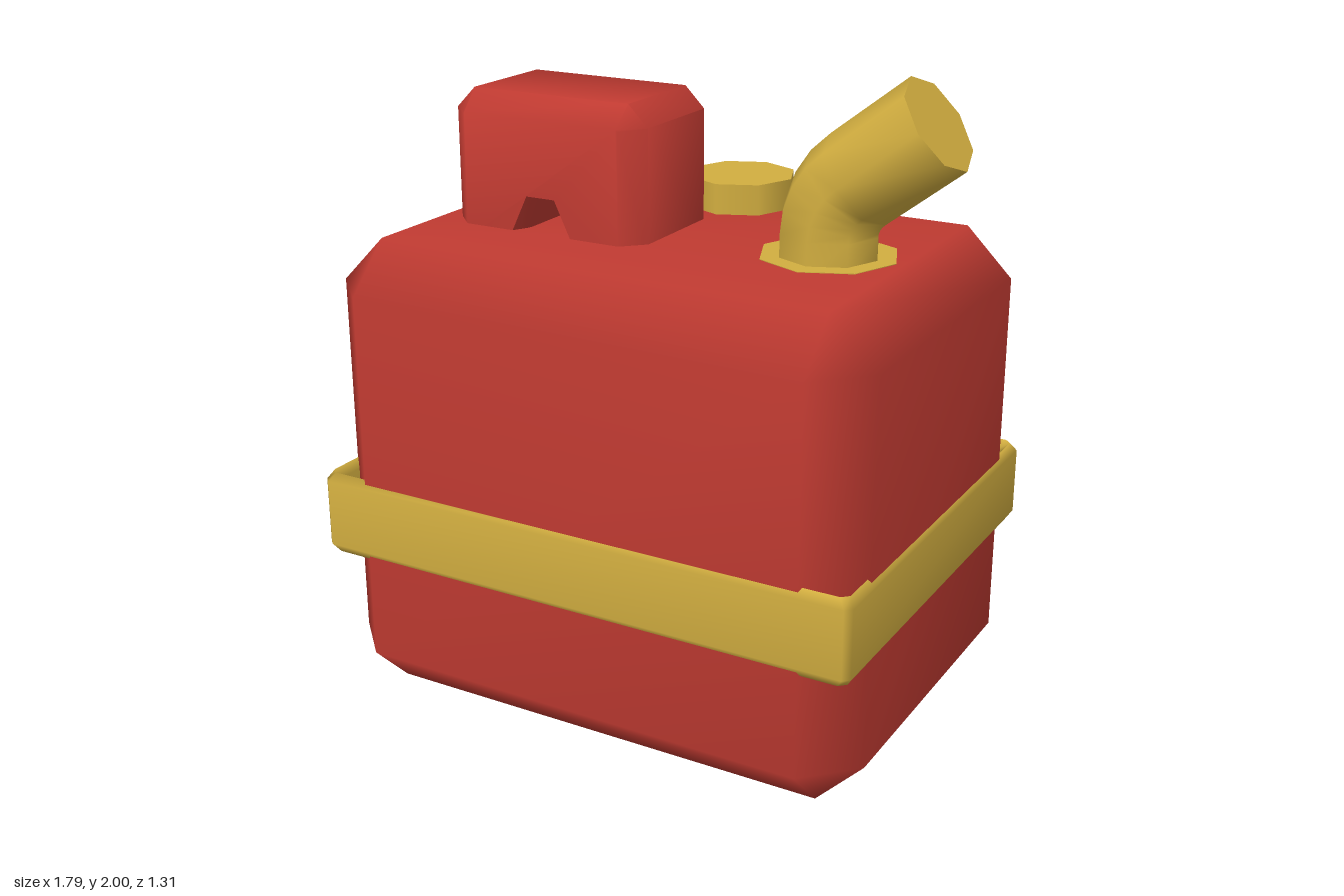
import * as THREE from 'three';
import { mergeVertices, toCreasedNormals } from 'three/addons/utils/BufferGeometryUtils.js';
import { ConvexGeometry } from 'three/addons/geometries/ConvexGeometry.js';

const V = (x, y, z) => new THREE.Vector3(x, y, z);

// Skin a run of rings; either joined end to start, or capped with the given triangles
function loft(rings, closed, capFaces = []) {
  const n = rings[0].length;
  const points = rings.flat();
  const index = [];
  const spans = closed ? rings.length : rings.length - 1;
  for (let i = 0; i < spans; i++) {
    const a = i * n, b = ((i + 1) % rings.length) * n;
    for (let j = 0; j < n; j++) {
      const k = (j + 1) % n;
      index.push(a + j, a + k, b + k, a + j, b + k, b + j);
    }
  }
  if (!closed) {
    const start = points.length, end = start + n;
    points.push(...rings[0], ...rings[rings.length - 1]);
    for (const [a, b, c] of capFaces) {
      index.push(start + a, start + c, start + b, end + a, end + b, end + c);
    }
  }
  const geo = new THREE.BufferGeometry().setFromPoints(points);
  geo.setIndex(index);
  geo.computeVertexNormals();
  return geo;
}

// Box with every edge cut at 45 degrees and softly shaded
function chamferBox(w, h, d, c) {
  const points = [];
  for (const x of [-1, 1]) for (const y of [-1, 1]) for (const z of [-1, 1]) {
    const [X, Y, Z] = [w / 2, h / 2, d / 2];
    points.push(V(x * X, y * (Y - c), z * (Z - c)));
    points.push(V(x * (X - c), y * Y, z * (Z - c)));
    points.push(V(x * (X - c), y * (Y - c), z * Z));
  }
  let geo = new ConvexGeometry(points);
  geo.deleteAttribute('normal');
  geo = mergeVertices(geo, 1e-4);
  geo.computeVertexNormals();
  return geo;
}

// Rectangular strap around the tank, with a ridged section
function strapGeometry() {
  const section = [[0, -0.105], [0, 0.105], [0.018, 0.133], [0.035, 0.105], [0.035, -0.105], [0.018, -0.133]];
  const c = 0.02;
  return loft(section.map(([inset, y]) => {
    const x = 0.89 - inset, z = 0.655 - inset;
    return [
      V(c - x, y, z), V(x - c, y, z), V(x, y, z - c), V(x, y, c - z),
      V(x - c, y, -z), V(c - x, y, -z), V(-x, y, c - z), V(-x, y, z - c),
    ];
  }), true);
}

// Block handle with a flared tunnel through its foot
function handleGeometry() {
  const contour = (s, notch) => {
    const l = -0.685 + s, r = -0.015 - s, t = 1.875 - s, c = 0.065, m = -0.35;
    return [
      [l, 1.42], [m - 0.09 - notch, 1.42], [m - 0.035 - notch * 0.4, 1.577],
      [m + 0.035 + notch * 0.4, 1.577], [m + 0.09 + notch, 1.42], [r, 1.42],
      [r, 1.875 - c - (s ? 0.005 : 0)], [r - (s ? 0.005 : c), t], [l + (s ? 0.005 : c), t], [l, 1.875 - c - (s ? 0.005 : 0)],
    ];
  };
  const outer = contour(0.065, 0.035), inner = contour(0, 0);
  const ring = (pts, z) => pts.map(([x, y]) => V(x, y, z));
  const caps = THREE.ShapeUtils.triangulateShape(outer.map(([x, y]) => new THREE.Vector2(x, y)), []);
  const geo = loft([ring(outer, -0.235), ring(inner, -0.17), ring(inner, 0.165), ring(outer, 0.23)], false, caps);
  return toCreasedNormals(geo, 1.0);
}

// Eight-sided spout: short riser, bend, straight nozzle
function spoutGeometry() {
  const R = 0.2, r = 0.151, bend = 0.95, steps = 4;
  const stations = [[0.49, 1.44, 0]];
  for (let i = 0; i <= steps; i++) {
    const t = bend * i / steps;
    stations.push([0.49 + R * (1 - Math.cos(t)), 1.535 + R * Math.sin(t), t]);
  }
  stations.push([0.807, 1.878, bend]);
  const rings = stations.map(([x, y, t]) => Array.from({ length: 8 }, (_, j) => {
    const a = j * Math.PI / 4, u = r * Math.cos(a);
    return V(x - u * Math.cos(t), y + u * Math.sin(t), r * Math.sin(a));
  }));
  const fan = Array.from({ length: 6 }, (_, j) => [0, j + 1, j + 2]);
  return loft(rings, false, fan);
}

export function createModel() {
  const red = new THREE.MeshStandardMaterial({ color: 0xbf3a31 });
  red.name = 'red paint';
  const gold = new THREE.MeshStandardMaterial({ color: 0xd2ae40 });
  gold.name = 'yellow gold';

  const model = new THREE.Group();
  model.name = 'fuelCan';
  const add = (name, geo, mat, x = 0, y = 0, z = 0) => {
    const mesh = new THREE.Mesh(geo, mat);
    mesh.name = name;
    mesh.position.set(x, y, z);
    model.add(mesh);
  };

  add('tank', chamferBox(1.76, 1.466, 1.29, 0.148), red, -0.01, 0.733, -0.004);
  add('strap', strapGeometry(), gold, -0.01, 0.603, -0.004);
  add('handle', handleGeometry(), red);
  add('fillerCap', new THREE.CylinderGeometry(0.174, 0.174, 0.1, 8), gold, -0.01, 1.512, -0.412);
  add('spout', spoutGeometry(), gold);
  // thin collar lying on the tank top
  add('spoutCollar', new THREE.CylinderGeometry(0.21, 0.21, 0.008, 8), gold, 0.49, 1.464, 0);
  return model;
}
